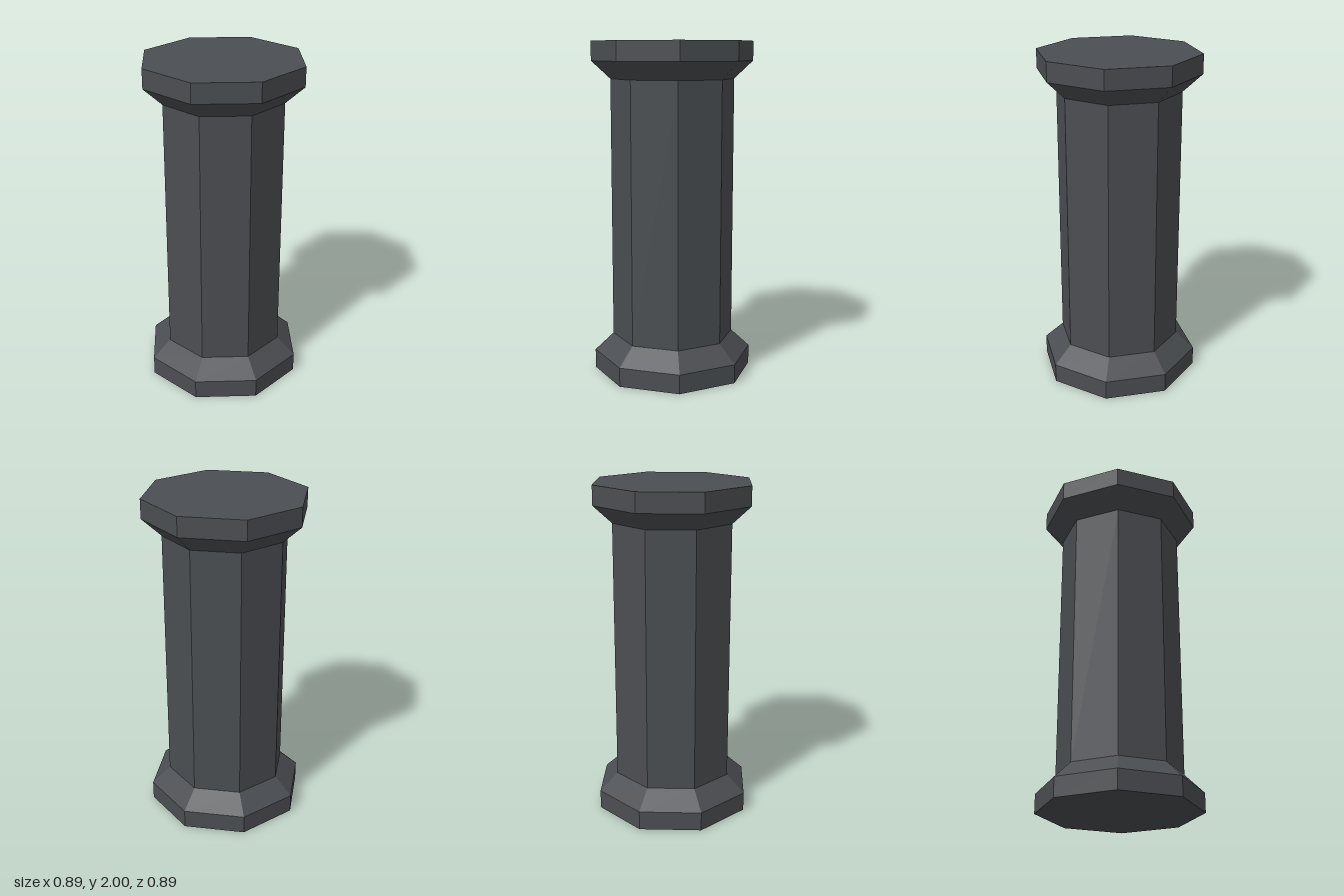
import * as THREE from 'three';

const SIDES = 8;
const WIDE = 0.444;   // centre to flat face of the end slabs
const NARROW = 0.34;  // centre to flat face of the shaft
const SLAB = 0.115;   // slab height
const SHOULDER = 0.22; // height where the slope meets the shaft

export function createModel() {
  const stone = new THREE.MeshStandardMaterial({ color: 0x4b4e52, flatShading: true });
  stone.name = 'dark stone';
  const group = new THREE.Group();
  group.name = 'octagonal pillar';

  // Octagonal section with flat faces towards the axes, sized by its apothems
  const section = (name, bottom, top, y0, y1, open) => {
    const k = 1 / Math.cos(Math.PI / SIDES);
    const geometry = new THREE.CylinderGeometry(top * k, bottom * k, y1 - y0, SIDES, 1, open, Math.PI / SIDES);
    const mesh = new THREE.Mesh(geometry, stone);
    mesh.name = name;
    mesh.position.y = (y0 + y1) / 2;
    group.add(mesh);
  };

  section('baseSlab', WIDE, WIDE, 0, SLAB, false);
  section('baseSlope', WIDE, NARROW, SLAB, SHOULDER, true);
  section('shaft', NARROW, NARROW, SHOULDER, 2 - SHOULDER, true);
  section('capitalSlope', NARROW, WIDE, 2 - SHOULDER, 2 - SLAB, true);
  section('capitalSlab', WIDE, WIDE, 2 - SLAB, 2, false);

  return group;
}
